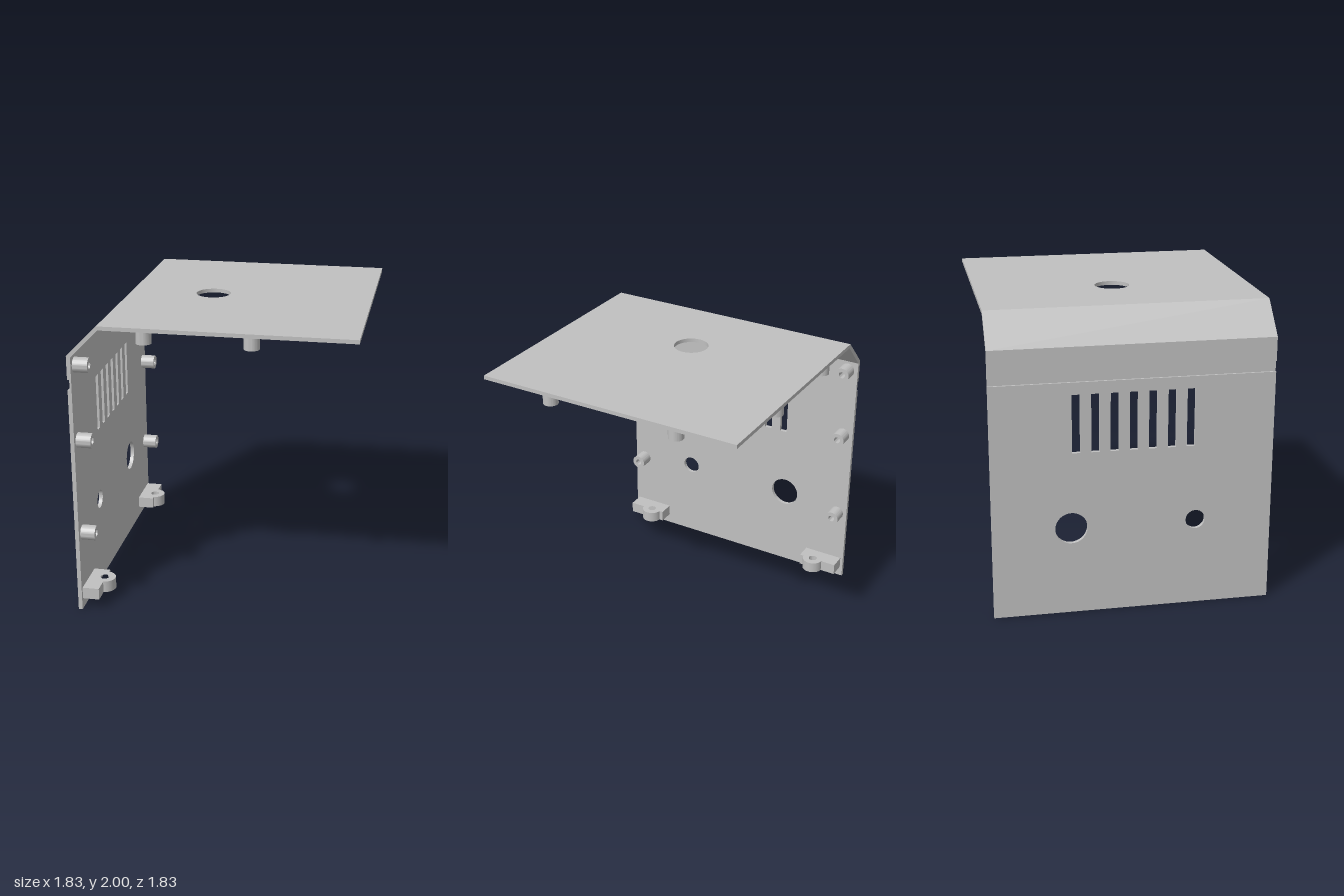
import * as THREE from 'three';
import { toCreasedNormals } from 'three/addons/utils/BufferGeometryUtils.js';

const grey = new THREE.MeshStandardMaterial({ color: 0xc0c0c0 });
grey.name = 'grey';

const OUT = -0.917, IN = -0.89;        // outer and inner faces of the wall
const HALF = 0.917;                    // half depth of the panels
const TOP = 2, UNDER = 1.974;          // faces of the top panel

const circle = (x, y, r) => new THREE.Path().absarc(x, y, r, 0, Math.PI * 2, true);

function polygon(points) {
  return new THREE.Shape(points.map(([x, y]) => new THREE.Vector2(x, y)));
}

function rect(x0, y0, x1, y1) {
  return polygon([[x0, y0], [x1, y0], [x1, y1], [x0, y1]]);
}

function extrude(shape, depth) {
  const geo = new THREE.ExtrudeGeometry(shape, { depth, bevelEnabled: false, curveSegments: 32 });
  return toCreasedNormals(geo, 0.5);
}

export function createModel() {
  const model = new THREE.Group();
  model.name = 'cornerEnclosure';

  const add = (name, geo, x, y, z) => {
    const mesh = new THREE.Mesh(geo, grey);
    mesh.name = name;
    mesh.position.set(x, y, z);
    model.add(mesh);
  };

  // Side wall with vent slots and two cable holes (shape u runs along -z)
  const wall = rect(-HALF, 0, HALF, 1.57);
  for (let i = -3; i <= 3; i++) {
    const u = i * 0.1233;
    wall.holes.push(rect(u - 0.027, 1.105, u + 0.027, 1.49));
  }
  wall.holes.push(circle(-0.41, 0.595, 0.064), circle(0.405, 0.595, 0.105));
  add('sideWall', extrude(wall, IN - OUT).rotateY(Math.PI / 2), OUT, 0, 0);

  // Grooved strip and sloped corner, extruded along the depth
  const corner = polygon([
    [IN, 1.57], [IN, 1.785], [-0.705, UNDER], [-0.7, UNDER], [-0.7, TOP],
    [-0.715, TOP], [OUT, 1.798], [OUT, 1.64], [-0.903, 1.64], [-0.903, 1.57],
  ]);
  add('slopedCorner', extrude(corner, HALF * 2), 0, 0, -HALF);

  // Top panel with a round opening (shape v runs along z)
  const top = rect(-0.7, -HALF, HALF, HALF);
  top.holes.push(circle(-0.155, 0, 0.116));
  add('topPanel', extrude(top, TOP - UNDER).rotateX(Math.PI / 2), 0, TOP, 0);

  // Hollow screw posts
  const ring = new THREE.Shape().absarc(0, 0, 0.05, 0, Math.PI * 2, false);
  ring.holes.push(circle(0, 0, 0.023));
  const wallPost = extrude(ring, 0.099).rotateY(Math.PI / 2);
  const topPost = extrude(ring, 0.09).rotateX(Math.PI / 2);

  // Mounting lug: a block with a rounded boss and a screw hole
  const lug = new THREE.Shape();
  lug.moveTo(IN, 0.897);
  lug.lineTo(-0.777, 0.897);
  lug.lineTo(-0.777, 0.79);
  lug.absarc(-0.785, 0.715, 0.075, Math.PI / 2, -Math.PI / 2, true);
  lug.lineTo(-0.777, 0.64);
  lug.lineTo(-0.777, 0.612);
  lug.lineTo(IN, 0.612);
  const outline = lug.getPoints(24);

  for (const s of [1, -1]) {
    for (const y of [0.545, 1.205, 1.718]) add('wallPost', wallPost, IN, y, s * 0.84);
    for (const [x, z] of [[-0.432, 0.84], [0.25, 0.84], [0.832, 0.46]]) {
      add('topPost', topPost, x, UNDER, s * z);
    }
    const shape = new THREE.Shape(outline.map((p) => new THREE.Vector2(p.x, s * p.y)));
    shape.holes.push(circle(-0.785, s * 0.715, 0.03));
    add('mountingLug', extrude(shape, 0.08).rotateX(Math.PI / 2), 0, 0.154, 0);
  }
  return model;
}
